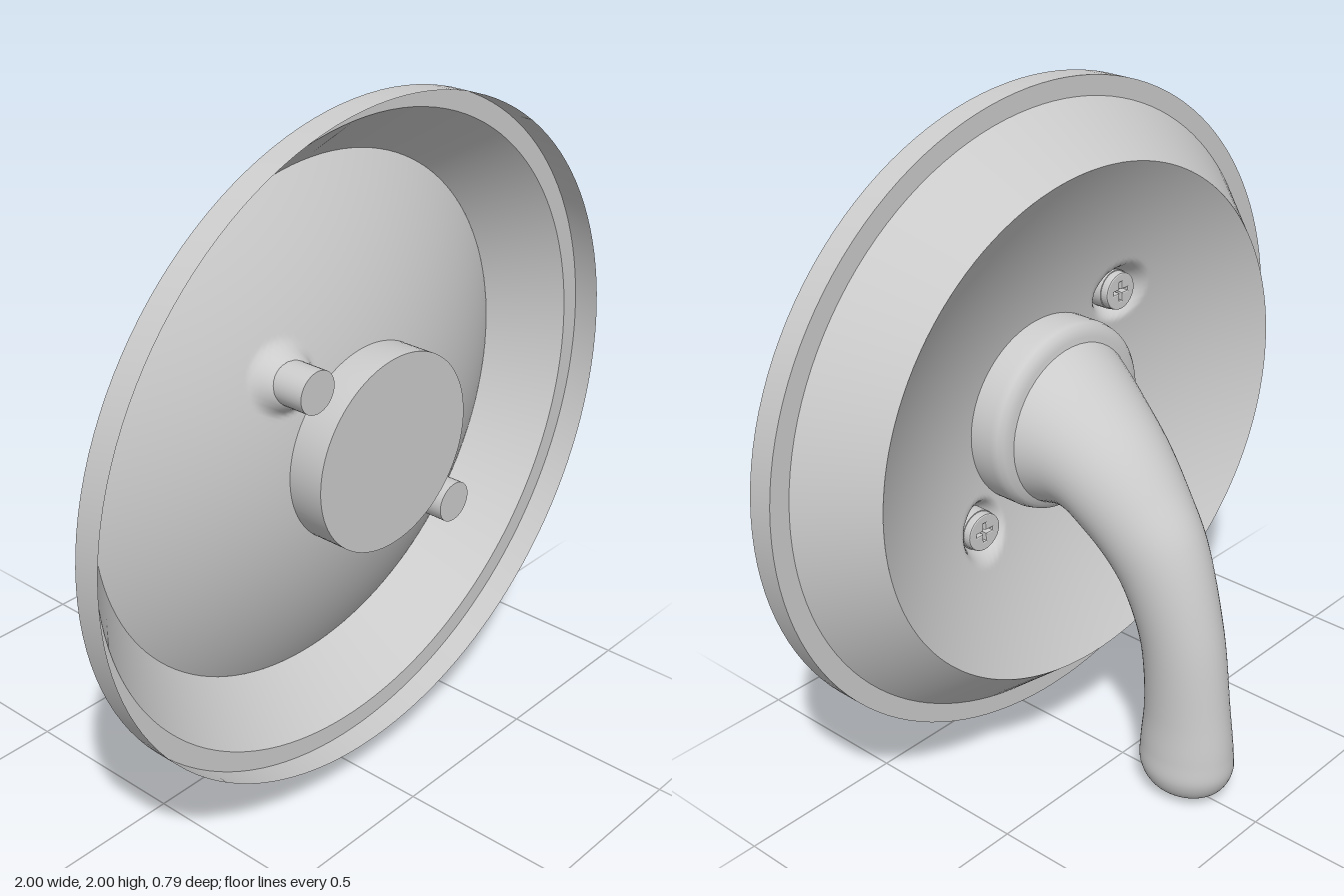
import * as THREE from 'three';
import { mergeVertices, toCreasedNormals } from 'three/addons/utils/BufferGeometryUtils.js';

const grey = new THREE.MeshStandardMaterial({ color: 0xcccccc });
const greySheet = new THREE.MeshStandardMaterial({ color: 0xcccccc, side: THREE.DoubleSide });
const SCREWS = [[-0.29, 0.29], [0.29, -0.29]];

function mesh(name, geometry, material = grey) {
  const m = new THREE.Mesh(geometry, material);
  m.name = name;
  return m;
}

// Profile of [radius, z] points turned around the z axis
function turned(points, segments = 96) {
  const g = new THREE.LatheGeometry(points.map(([r, z]) => new THREE.Vector2(r, z)), segments);
  return g.rotateX(Math.PI / 2);
}

// Shallow dish bulging forward, with a raised boss around each screw
function dishGeometry() {
  const pts = [];
  for (let i = 0; i <= 60; i++) {
    const r = 0.2 + (0.59 * i) / 60;
    pts.push([r, 0.322 - 0.356 * r * r]);
  }
  let g = turned(pts, 192);
  const p = g.attributes.position;
  for (let i = 0; i < p.count; i++) {
    for (const [sx, sy] of SCREWS) {
      const d = Math.hypot(p.getX(i) - sx, p.getY(i) - sy);
      p.setZ(i, p.getZ(i) + 0.05 * (1 - THREE.MathUtils.smoothstep(d, 0.05, 0.1)));
    }
  }
  g.deleteAttribute('uv');
  g.deleteAttribute('normal');
  g = mergeVertices(g);
  g.computeVertexNormals();
  return g;
}

// Screw: pin towards the front, cross-slotted head at the back
function screw(x, y) {
  const s = new THREE.Group();
  s.name = 'screw';
  const pin = mesh('screwPin', new THREE.CylinderGeometry(0.062, 0.062, 0.1, 32).rotateX(Math.PI / 2));
  pin.position.z = 0.33;
  const face = new THREE.Shape().absarc(0, 0, 0.055, 0, Math.PI * 2);
  const a = 0.009, b = 0.034;
  const cross = [[a, a], [a, b], [-a, b], [-a, a], [-b, a], [-b, -a],
    [-a, -a], [-a, -b], [a, -b], [a, -a], [b, -a], [b, a]];
  face.holes.push(new THREE.Path(cross.map(([u, v]) => new THREE.Vector2(u, v))));
  const head = mesh('screwHead', new THREE.ExtrudeGeometry(face, {
    depth: 0.02, bevelEnabled: true, bevelThickness: 0.006, bevelSize: 0.004, bevelSegments: 2, curveSegments: 24,
  }));
  head.position.z = 0.262;
  s.add(pin, head);
  s.position.set(x, y, 0);
  return s;
}

// Lever lofted through oval sections: [upper y, upper z, lower y, lower z, half width]
function handleGeometry() {
  const sections = [
    [1.31, 0.22, 0.81, 0.22, 0.26],
    [1.22, 0.09, 0.82, 0.11, 0.21],
    [1.08, -0.07, 0.76, 0.04, 0.175],
    [0.95, -0.175, 0.69, -0.02, 0.15],
    [0.82, -0.26, 0.61, -0.06, 0.13],
    [0.55, -0.342, 0.47, -0.1, 0.11],
    [0.28, -0.378, 0.28, -0.11, 0.107],
    [0.16, -0.39, 0.16, -0.1, 0.116],
    [0.09, -0.39, 0.09, -0.1, 0.12],
    [0.04, -0.365, 0.04, -0.125, 0.1],
    [0.01, -0.315, 0.01, -0.18, 0.055],
    [0, -0.248, 0, -0.247, 0.001],
  ];
  const upper = new THREE.CatmullRomCurve3(sections.map((s) => new THREE.Vector3(s[4], s[0], s[1])));
  const lower = new THREE.CatmullRomCurve3(sections.map((s) => new THREE.Vector3(s[4], s[2], s[3])));
  const rings = 88, sides = 48, pos = [], idx = [];
  for (let i = 0; i <= rings; i++) {
    const u = upper.getPoint(i / rings), l = lower.getPoint(i / rings);
    for (let j = 0; j < sides; j++) {
      const t = (j / sides) * Math.PI * 2, c = Math.cos(t) / 2;
      pos.push(u.x * Math.sin(t), (u.y + l.y) / 2 + (u.y - l.y) * c, (u.z + l.z) / 2 + (u.z - l.z) * c);
      if (i === rings) continue;
      const k = (j + 1) % sides, p = i * sides, q = p + sides;
      idx.push(p + j, p + k, q + j, p + k, q + k, q + j);
    }
  }
  const g = new THREE.BufferGeometry();
  g.setAttribute('position', new THREE.Float32BufferAttribute(pos, 3));
  g.setIndex(idx);
  g.computeVertexNormals();
  return g;
}

export function createModel() {
  const model = new THREE.Group();
  model.name = 'leverAndPlate';

  // Slightly oval plate assembly
  const plate = new THREE.Group();
  plate.name = 'plate';
  plate.position.y = 1.065;
  plate.scale.y = 0.935;
  const rim = turned([[0.79, 0.1], [0.94, 0.275], [1, 0.275], [1, 0.35]], 128);
  plate.add(
    mesh('rimAndWall', toCreasedNormals(rim, 0.4), greySheet),
    mesh('dish', dishGeometry(), greySheet),
  );

  // Hub: flat disc in front, rounded collar behind
  const hub = turned([[0, 0.18], [0.25, 0.18], [0.275, 0.187], [0.288, 0.2], [0.293, 0.22], [0.293, 0.395], [0, 0.395]]);
  plate.add(mesh('hub', toCreasedNormals(hub, 0.7)));
  for (const [x, y] of SCREWS) plate.add(screw(x, y));

  model.add(plate, mesh('handle', handleGeometry()));
  return model;
}
